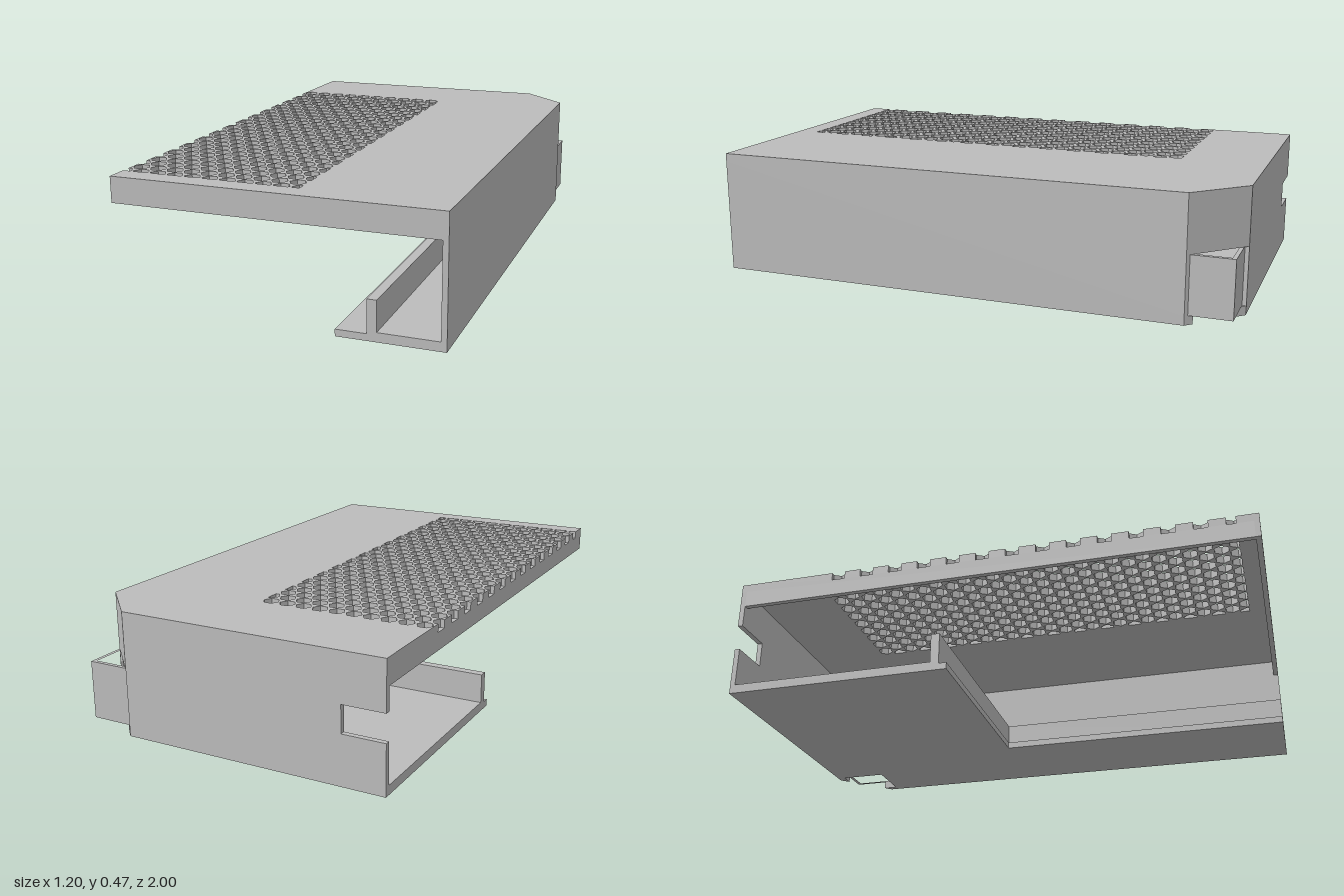
import * as THREE from 'three';

const TOP = 0.465, SHEET = 0.435, RIM = 0.37, FLOOR = 0.034;

const toPath = (pts) => pts.map(([x, z]) => new THREE.Vector2(x, -z));

// Upright prism from a plan outline of [x, z] points between two heights
function slab(name, mat, pts, y0, y1, holes = []) {
  const shape = new THREE.Shape(toPath(pts));
  shape.holes = holes.map((h) => new THREE.Path(toPath(h)));
  const geo = new THREE.ExtrudeGeometry(shape, { depth: y1 - y0, bevelEnabled: false });
  geo.rotateX(-Math.PI / 2).translate(0, y0, 0);
  const mesh = new THREE.Mesh(geo, mat);
  mesh.name = name;
  return mesh;
}

const rect = (x0, x1, z0, z1) => [[x0, z0], [x1, z0], [x1, z1], [x0, z1]];

export function createModel() {
  const group = new THREE.Group();
  group.name = 'ventedCover';
  const grey = new THREE.MeshStandardMaterial({ color: 0xbcbcbc });
  grey.name = 'plainGrey';
  const add = (name, pts, y0, y1, holes) => group.add(slab(name, grey, pts, y0, y1, holes));

  // Honeycomb vents: staggered rows, cut off at both sides and at the front
  const pitch = 0.0667, R = 0.03, h = R * Math.sqrt(3) / 2;
  const rowPitch = pitch * Math.sqrt(3) / 2, left = -0.6, frontCut = 0.918;
  const holes = [], leftNotches = [];
  for (let row = 0; row < 28; row++) {
    const z = -0.65 + row * rowPitch;
    const t = Math.min(h, frontCut - z), w = R - t / Math.sqrt(3);
    const odd = row % 2 === 1;
    for (let k = odd ? 1 : 0; k < 10; k++) {
      const x = left + (k + (odd ? 0 : 0.5)) * pitch;
      holes.push([[x - R, z], [x - R / 2, z - h], [x + R / 2, z - h],
        [x + R, z], [x + w, z + t], [x - w, z + t]]);
    }
    if (odd) {
      const x = left + 10 * pitch;
      holes.push([[x, z - h], [x, z + t], [x - w, z + t], [x - R, z], [x - R / 2, z - h]]);
      // Half holes open through the left edge
      leftNotches.push([left, z - h], [left + R / 2, z - h], [left + R, z],
        [left + w, z + t], [left, z + t]);
    }
  }
  add('topSheet', [[left, -1], ...leftNotches, [left, 1], [0.6, 1], [0.6, -0.82], [0.42, -1]],
    SHEET, TOP, holes);

  // Hanging rims at the front and left
  add('frontRim', rect(-0.6, 0.58, 0.98, 1), RIM, SHEET);
  add('leftRim', rect(-0.6, -0.58, -0.98, 0.98), RIM, SHEET);

  // Side wall and cut corner
  add('sideWall', [[0.58, 1], [0.6, 1], [0.6, -0.82], [0.59, -0.83], [0.58, -0.83]], FLOOR, SHEET);
  add('cornerWall', [[0.42, -1], [0.6, -0.82], [0.58, -0.812], [0.412, -0.98]], 0.25, SHEET);

  // Back wall with a slot at its left end
  const back = new THREE.Shape([[-0.6, FLOOR], [0.42, FLOOR], [0.42, SHEET], [-0.6, SHEET],
    [-0.6, 0.285], [-0.44, 0.285], [-0.44, 0.185], [-0.6, 0.185]]
    .map(([x, y]) => new THREE.Vector2(x, y)));
  const backWall = new THREE.Mesh(
    new THREE.ExtrudeGeometry(back, { depth: 0.02, bevelEnabled: false }).translate(0, 0, -1), grey);
  backWall.name = 'backWall';
  group.add(backWall);

  // L-shaped floor, notched under the corner socket
  add('floor', [[0.33, 1], [0.6, 1], [0.6, -0.82], [0.575, -0.845], [0.575, -0.79],
    [0.395, -0.79], [0.395, -0.97], [0.45, -0.97], [0.42, -1], [-0.6, -1],
    [-0.6, -0.17], [0.33, -0.17]], 0, FLOOR);
  add('floorLip', [[0.22, 1], [0.33, 1], [0.33, -0.17], [-0.6, -0.17],
    [-0.6, -0.14], [0.22, -0.14]], 0, 0.025);
  add('floorRib', [[0.33, 1], [0.365, 1], [0.365, -0.203], [-0.6, -0.203],
    [-0.6, -0.17], [0.33, -0.17]], FLOOR - 0.009, 0.145);

  // Square open socket through the cut corner
  add('cornerSocket', rect(0.38, 0.59, -0.985, -0.775), FLOOR, 0.25,
    [rect(0.395, 0.575, -0.97, -0.79)]);

  return group;
}
